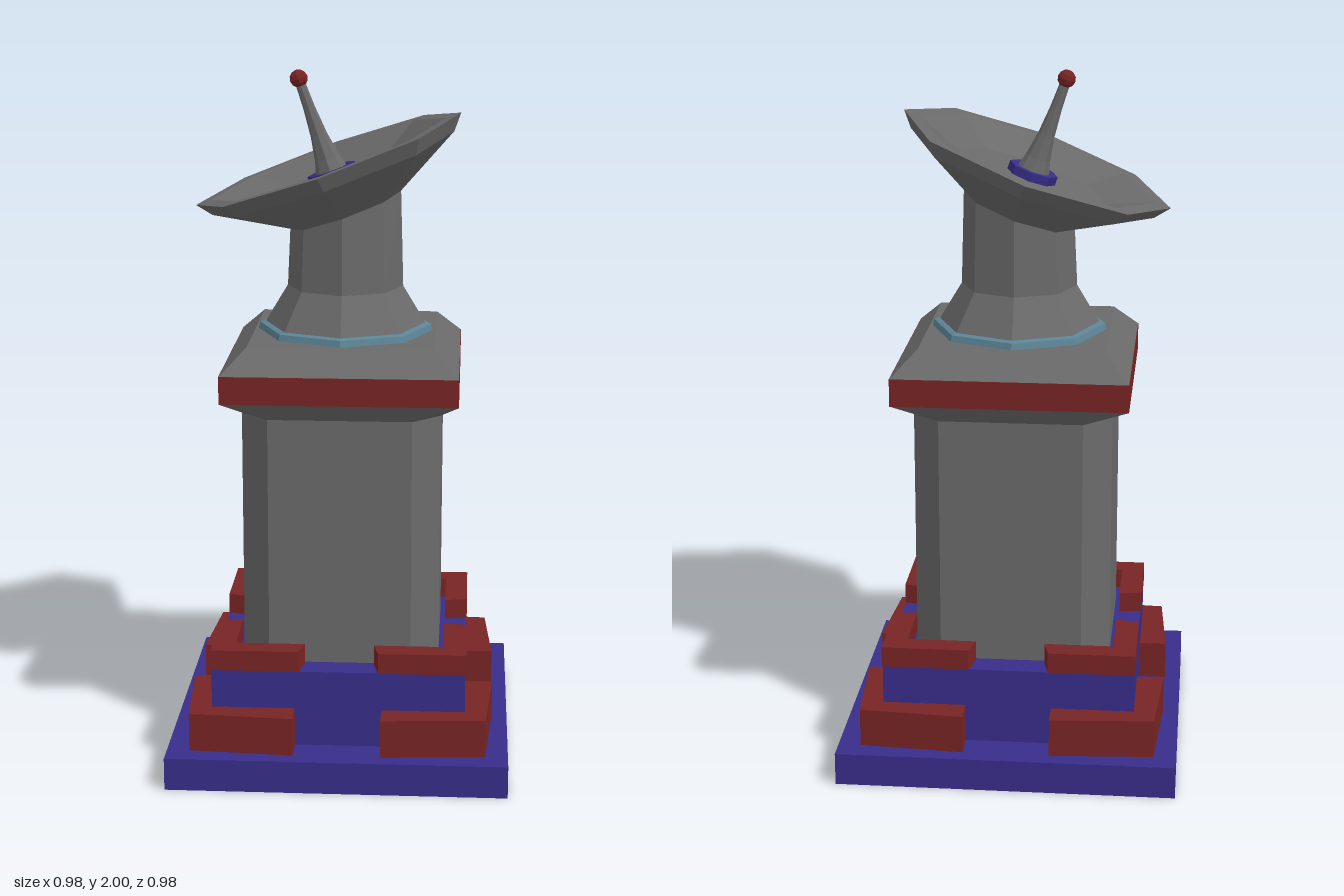
import * as THREE from 'three';

const paint = (name, color) => {
  const m = new THREE.MeshStandardMaterial({ color });
  m.name = name;
  return m;
};

// cross-section loops: an octagon with a corner on +x, and a square with cut corners
const oct = (r, y, tilt = 0) => Array.from({ length: 8 }, (_, i) => {
  const x = r * Math.cos(i * Math.PI / 4);
  return new THREE.Vector3(x, y + tilt * x, r * Math.sin(i * Math.PI / 4));
});
const square = (h, y, flat = h) =>
  [[h, -flat], [h, flat], [flat, h], [-flat, h], [-h, flat], [-h, -flat], [-flat, -h], [flat, -h]]
    .map(([x, z]) => new THREE.Vector3(x, y, z));

// faceted skin through a stack of loops, closed at both ends
function loft(loops) {
  const pos = [];
  const tri = (a, b, c) => {
    const area = new THREE.Triangle(a, b, c).getArea();
    if (area > 1e-7) for (const p of [a, b, c]) pos.push(p.x, p.y, p.z);
  };
  const n = loops[0].length, first = loops[0], last = loops[loops.length - 1];
  for (let k = 0; k + 1 < loops.length; k++) {
    const lo = loops[k], up = loops[k + 1];
    for (let i = 0; i < n; i++) {
      const j = (i + 1) % n;
      tri(lo[i], up[i], lo[j]);
      tri(lo[j], up[i], up[j]);
    }
  }
  for (let i = 1; i + 1 < n; i++) {
    tri(first[0], first[i], first[i + 1]);
    tri(last[0], last[i + 1], last[i]);
  }
  const g = new THREE.BufferGeometry();
  g.setAttribute('position', new THREE.Float32BufferAttribute(pos, 3));
  g.computeVertexNormals();
  return g;
}

// upright slab from a plan outline
function slab(points, y, height) {
  const shape = new THREE.Shape(points.map(([x, z]) => new THREE.Vector2(x, z)));
  return new THREE.ExtrudeGeometry(shape, { depth: height, bevelEnabled: false })
    .rotateX(-Math.PI / 2).translate(0, y, 0);
}

export function createModel() {
  const grey = paint('grey metal', 0x6a6a6a);
  const red = paint('dark red', 0x782424);
  const blue = paint('indigo', 0x382d8a);
  const teal = paint('dull teal', 0x5c8496);

  const model = new THREE.Group();
  const add = (name, geometry, material, parent = model) => {
    const mesh = new THREE.Mesh(geometry, material);
    mesh.name = name;
    parent.add(mesh);
    return mesh;
  };

  // stepped base
  add('basePlate', new THREE.BoxGeometry(0.98, 0.095, 0.98).translate(0, 0.0475, 0), blue);
  add('baseBlock', new THREE.BoxGeometry(0.73, 0.225, 0.73).translate(0, 0.2075, 0), blue);

  // L-shaped guards on the four corners of each step
  const lowerGuard = slab([[0.125, 0.445], [0.125, 0.35], [0.35, 0.35], [0.35, 0.125],
    [0.445, 0.125], [0.425, 0.425]], 0.095, 0.112);
  const upperGuard = slab([[0.115, 0.367], [0.1, 0.3], [0.3, 0.3], [0.3, 0.1],
    [0.367, 0.115], [0.367, 0.367]], 0.32, 0.06);
  for (let i = 0; i < 4; i++) {
    add('lowerCornerGuard', lowerGuard, red).rotation.y = i * Math.PI / 2;
    add('upperCornerGuard', upperGuard, red).rotation.y = i * Math.PI / 2;
  }

  // column with cut corners flaring out to a square head
  add('column', loft([square(0.285, 0.32, 0.205), square(0.285, 1.045, 0.205),
    square(0.335, 1.1)]), grey);
  add('headBand', loft([square(0.336, 1.1), square(0.336, 1.18)]), red);
  add('headRoof', loft([square(0.335, 1.18), square(0.263, 1.25)]), grey);

  // collar and neck, the neck top cut to the slope of the dish
  const angle = 0.342;
  add('collar', loft([oct(0.255, 1.25), oct(0.25, 1.268), oct(0.235, 1.272)]), teal);
  add('neck', loft([oct(0.233, 1.272), oct(0.168, 1.38),
    oct(0.16, 1.602, Math.tan(angle))]), grey);

  // tilted dish assembly
  const dish = new THREE.Group();
  dish.name = 'dishAssembly';
  dish.position.set(0, 1.6, 0);
  dish.rotation.z = angle;
  model.add(dish);
  add('dish', loft([oct(0.169, 0), oct(0.37, 0.112), oct(0.405, 0.155), oct(0.358, 0.155),
    oct(0.223, 0.1)]), grey, dish);
  add('feedRing', loft([oct(0.072, 0.098), oct(0.072, 0.125), oct(0.052, 0.125),
    oct(0.052, 0.105)]), blue, dish);
  add('feedHorn', loft([oct(0.052, 0.105), oct(0.036, 0.16), oct(0.024, 0.23),
    oct(0.017, 0.31), oct(0.014, 0.39)]), grey, dish);
  const tip = new THREE.SphereGeometry(0.026, 8, 6).toNonIndexed();
  tip.computeVertexNormals();
  add('feedTip', tip.translate(0, 0.398, 0), red, dish);

  return model;
}
